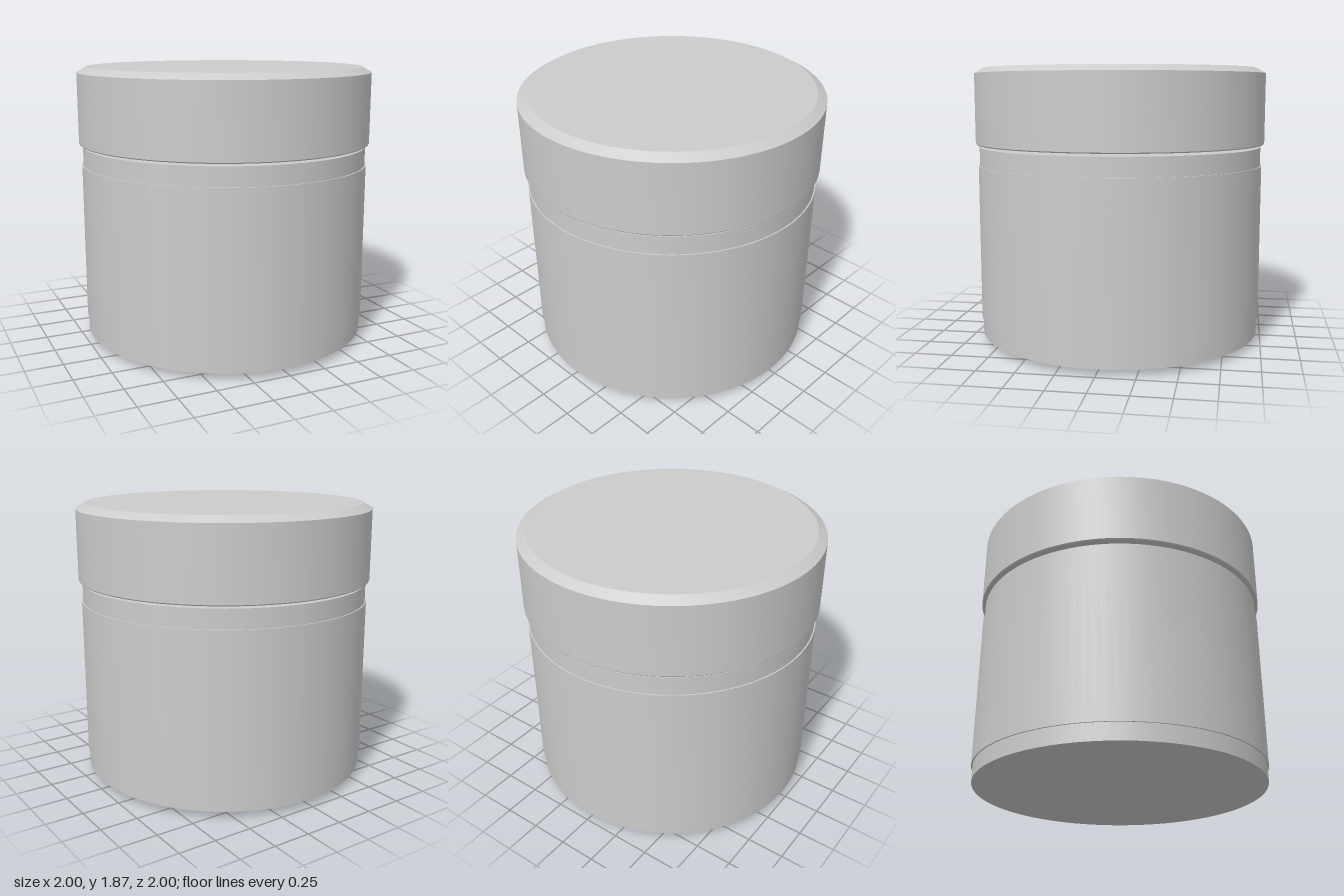
import * as THREE from 'three';
import { toCreasedNormals } from 'three/addons/utils/BufferGeometryUtils.js';

const SEGMENTS = 96;

// Turned part from a [radius, height] profile, listed bottom to top
function turned(name, profile, material) {
  const points = profile.map(([r, y]) => new THREE.Vector2(r, y));
  const geometry = toCreasedNormals(new THREE.LatheGeometry(points, SEGMENTS), 0.4);
  const mesh = new THREE.Mesh(geometry, material);
  mesh.name = name;
  return mesh;
}

export function createModel() {
  const group = new THREE.Group();
  group.name = 'jar';
  const material = new THREE.MeshStandardMaterial({ color: 0xcccccc });

  // Jar body with a shallow conical base
  group.add(turned('body', [
    [0, 0], [0.92, 0.04], [0.975, 0.042], [0.975, 1.335], [0, 1.335],
  ], material));

  // Thin band wrapped around the body
  group.add(turned('labelBand', [
    [0.975, 0.153], [0.984, 0.153], [0.984, 1.21], [0.975, 1.21],
  ], material));

  // Lid with bevelled rims, set just above the body
  group.add(turned('lid', [
    [0, 1.353], [0.994, 1.353], [1, 1.36], [1, 1.832], [0.937, 1.869], [0, 1.869],
  ], material));

  return group;
}
